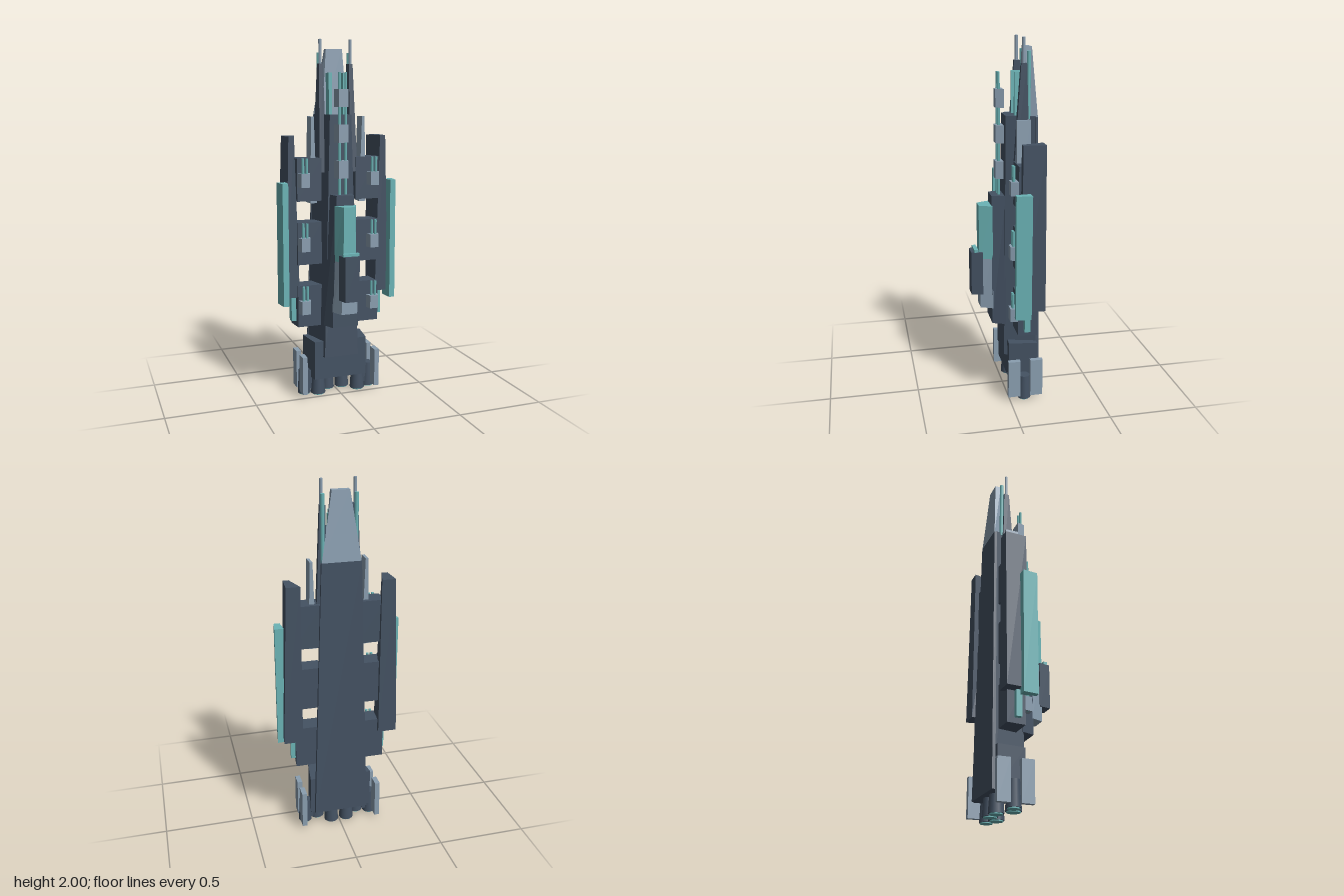
import * as THREE from 'three';

const dark = new THREE.MeshStandardMaterial({ name: 'dark slate hull', color: 0x445263 });
const light = new THREE.MeshStandardMaterial({ name: 'light steel', color: 0x8a9eb0 });
const teal = new THREE.MeshStandardMaterial({ name: 'teal accent', color: 0x6bb4b6 });

// Section: [back xMin, back xMax, front xMin, front xMax, zBack, zFront]
const corners = ([a, b, c, d, zb, zf]) => [[a, zb], [c, zf], [d, zf], [b, zb]];
const mirror = ([a, b, c, d, zb, zf]) => [-b, -a, -d, -c, zb, zf];
const sym = (back, front, zb, zf) => [-back, back, -front, front, zb, zf];

// Flat-faced solid between a lower and an upper four-cornered section
function frustum(y0, lower, y1, upper) {
  const b = corners(lower).map(([x, z]) => [x, y0, z]);
  const t = corners(upper).map(([x, z]) => [x, y1, z]);
  const pos = [];
  const quad = (p, q, r, s) => pos.push(...p, ...q, ...r, ...p, ...r, ...s);
  quad(...t);
  quad(b[3], b[2], b[1], b[0]);
  for (let i = 0; i < 4; i++) {
    const j = (i + 1) % 4;
    quad(b[i], b[j], t[j], t[i]);
  }
  const g = new THREE.BufferGeometry();
  g.setAttribute('position', new THREE.Float32BufferAttribute(pos, 3));
  g.computeVertexNormals();
  return g;
}

export function createModel() {
  const model = new THREE.Group();
  model.name = 'spaceship';

  const add = (name, geometry, material) => {
    const mesh = new THREE.Mesh(geometry, material);
    mesh.name = name;
    model.add(mesh);
    return mesh;
  };
  const solid = (name, mat, y0, lower, y1, upper = lower) =>
    add(name, frustum(y0, lower, y1, upper), mat);
  const pair = (name, mat, y0, lower, y1, upper = lower) => {
    solid('left' + name, mat, y0, lower, y1, upper);
    solid('right' + name, mat, y0, mirror(lower), y1, mirror(upper));
  };
  const rod = (name, mat, x, z, y0, y1, rTop, rBottom = rTop, sides = 8) => {
    const g = new THREE.CylinderGeometry(rTop, rBottom, y1 - y0, sides);
    add(name, g, mat).position.set(x, (y0 + y1) / 2, z);
  };

  // Hull, nose and stern
  solid('hullBackPlate', dark, 0.1, sym(0.153, 0.155, -0.182, -0.165), 1.59, sym(0.106, 0.106, -0.17, -0.155));
  solid('hull', dark, 0.23, sym(0.148, 0.1, -0.168, 0.01), 1.595, sym(0.104, 0.062, -0.158, -0.006));
  solid('nose', light, 1.58, sym(0.106, 0.075, -0.17, -0.1), 1.95, sym(0.047, 0.047, -0.147, -0.114));
  solid('engineBlock', dark, 0.1, sym(0.176, 0.155, -0.165, -0.008), 0.322);
  solid('spine', dark, 0.42, sym(0.103, 0.075, 0, 0.072), 1.16, sym(0.066, 0.05, -0.006, 0.07));

  // Command section on the spine
  solid('commandBase', light, 0.51, sym(0.075, 0.045, 0.066, 0.134), 0.84, sym(0.06, 0.035, 0.066, 0.134));
  solid('canopy', teal, 0.8, sym(0.063, 0.036, 0.066, 0.139), 1.105, sym(0.062, 0.033, 0.066, 0.138));
  solid('bridge', dark, 0.59, sym(0.055, 0.041, 0.12, 0.183), 0.84);
  solid('bridgeStrip', teal, 0.838, sym(0.048, 0.046, 0.145, 0.167), 0.855);

  // Prongs beside the nose, with antennas and glowing strips
  pair('Prong', dark, 1.28, [0.063, 0.124, 0.068, 0.112, -0.125, -0.04],
    1.87, [0.07, 0.1, 0.076, 0.097, -0.11, -0.08]);
  pair('NoseStrip', teal, 1.58, [0.033, 0.051, 0.033, 0.051, -0.105, -0.055], 1.82);
  pair('ShoulderFin', light, 1.11, [0.125, 0.166, 0.125, 0.164, -0.12, -0.045],
    1.585, [0.141, 0.156, 0.141, 0.156, -0.12, -0.045]);

  // Twin-barrel turret: wedge-shaped housing with two rods
  const turret = (name, x, z, y0, y1, barrel0, barrel1, half, gap) => {
    solid(name + 'Housing', light, y0,
      [x - half, x + half, x - half * 0.68, x + half * 0.68, z, z + 0.043], y1);
    for (const s of [-1, 1]) rod(name + 'Barrel', teal, x + s * gap, z + 0.025, barrel0, barrel1, 0.008, 0.008, 6);
  };
  for (const y of [1.25, 1.445, 1.635]) turret('mastTurret', 0, 0, y, y + 0.097, y - 0.09, y + 0.185, 0.04, 0.018);

  // Side pods, each with a turret
  for (const y of [0.41, 0.767, 1.123]) {
    pair('SidePod', dark, y, [0.1, 0.252, 0.1, 0.24, -0.144, -0.04], y + 0.237);
    for (const s of [-1, 1]) turret('podTurret', s * 0.203, -0.042, y + 0.08, y + 0.155, y + 0.08, y + 0.237, 0.036, 0.011);
  }

  // Long outer armour and its teal edge plates
  pair('ArmourFin', dark, 0.58, [0.217, 0.322, 0.227, 0.307, -0.171, -0.05],
    1.478, [0.217, 0.292, 0.253, 0.284, -0.171, -0.05]);
  pair('EdgePlate', teal, 0.545, [0.292, 0.343, 0.3, 0.332, -0.09, -0.007], 1.228);
  pair('LowerStrip', teal, 0.44, [0.24, 0.273, 0.24, 0.27, -0.102, -0.07], 0.6);

  // Tail fins, front and back of each outer engine
  for (const [zb, zf] of [[-0.185, -0.115], [-0.058, 0.01]])
    pair('TailFin', light, 0.025, [0.203, 0.231, 0.203, 0.231, zb, zf], 0.243);

  for (const s of [-1, 1]) {
    rod('antenna', light, s * 0.088, -0.094, 1.8, 2, 0.009);
    rod('tealAntenna', teal, s * 0.088, -0.122, 1.58, 1.93, 0.011);
    // Engine nozzles with glowing discs underneath
    for (const [x, z, r, top] of [[0.045, -0.12, 0.041, 0.12], [0.12, -0.058, 0.042, 0.12], [0.195, -0.086, 0.038, 0.143]]) {
      rod('engineNozzle', dark, s * x, z, 0.006, top, r * 0.82, r, 16);
      rod('engineGlow', teal, s * x, z, 0, 0.007, r * 0.85, r * 0.85, 16);
    }
    // Struts joining the outer engines to the stern
    const strut = [0.15, 0.205, 0.15, 0.205, -0.11, -0.06];
    solid('engineStrut', dark, 0.03, s > 0 ? strut : mirror(strut), 0.14);
  }
  return model;
}
